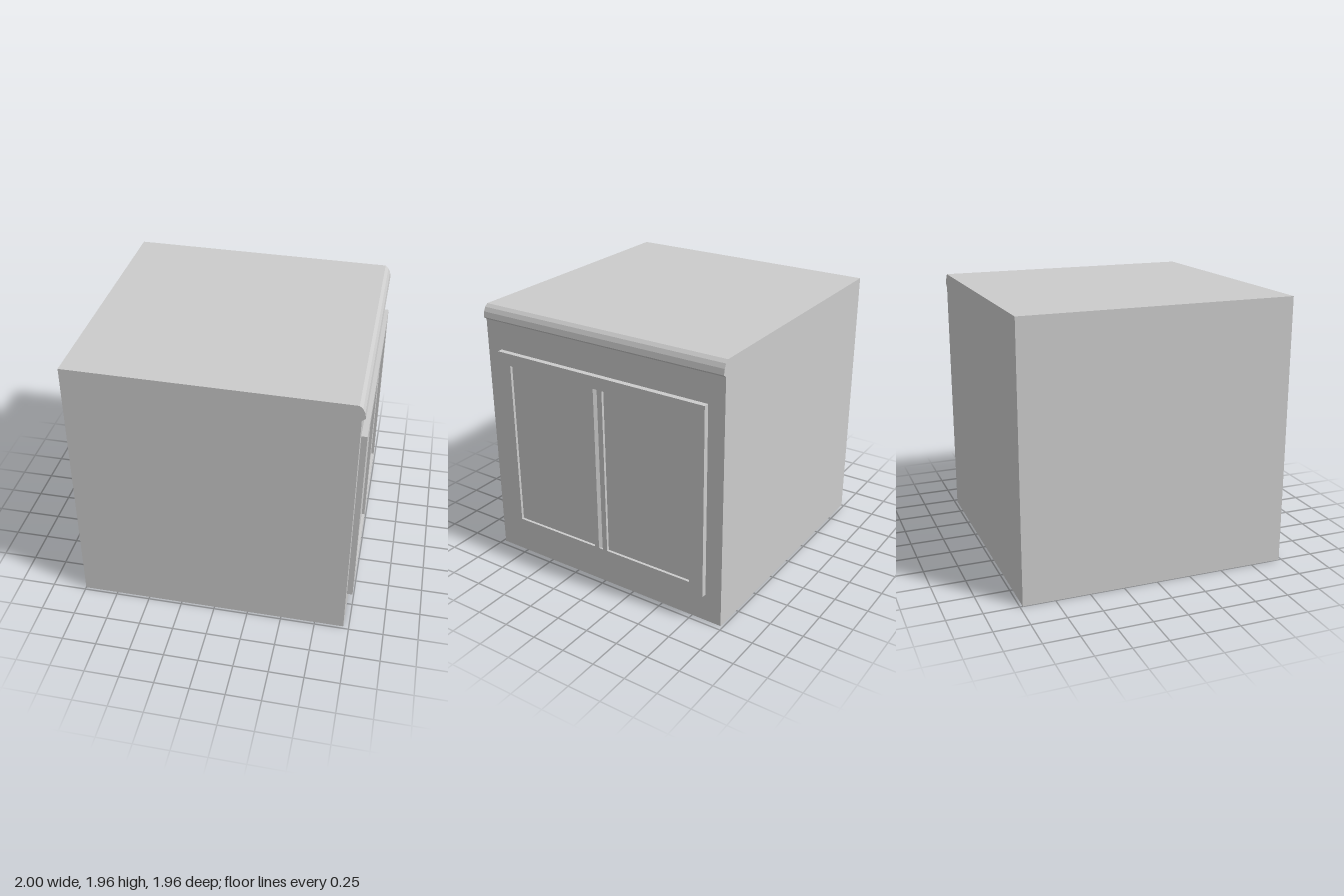
import * as THREE from 'three';

const HALF_Z = 0.98;
const material = new THREE.MeshStandardMaterial({ color: 0xcccccc, side: THREE.DoubleSide, flatShading: true });

function part(name, geometry, parent) {
  const mesh = new THREE.Mesh(geometry, material);
  mesh.name = name;
  parent.add(mesh);
  return mesh;
}

// Open sheet: an xy path swept along z from -half to +half
function sheet(path, half) {
  const pos = [];
  for (let i = 0; i + 1 < path.length; i++) {
    const [px, py] = path[i], [qx, qy] = path[i + 1];
    const a = [px, py, -half], b = [qx, qy, -half], c = [qx, qy, half], d = [px, py, half];
    pos.push(...a, ...d, ...c, ...a, ...c, ...b);
  }
  const g = new THREE.BufferGeometry();
  g.setAttribute('position', new THREE.Float32BufferAttribute(pos, 3));
  g.computeVertexNormals();
  return g;
}

// Rectangle outline added to a shape or hole path
function rect(path, x0, y0, x1, y1) {
  path.moveTo(x0, y0);
  path.lineTo(x1, y0);
  path.lineTo(x1, y1);
  path.lineTo(x0, y1);
  path.closePath();
  return path;
}

export function createModel() {
  const model = new THREE.Group();
  model.name = 'cabinetBox';

  // Side outline: back wall, sloping roof, rounded lip, window wall
  const profile = [
    [-1, 0], [-1, 1.96], [0.94, 1.94], [0.963, 1.92], [0.978, 1.89],
    [0.985, 1.85], [0.96, 1.83], [0.96, 0],
  ];
  part('shell', sheet(profile, HALF_Z), model);

  // End walls, each with an inward flange along its bottom edge
  const outline = new THREE.Shape(profile.map(([x, y]) => new THREE.Vector2(x, y)));
  for (const s of [1, -1]) {
    const wall = new THREE.ShapeGeometry(outline);
    if (s < 0) {
      const index = wall.index.array;
      for (let i = 0; i < index.length; i += 3) [index[i], index[i + 1]] = [index[i + 1], index[i]];
      wall.computeVertexNormals();
    }
    part(s > 0 ? 'frontWall' : 'backWall', wall, model).position.z = s * HALF_Z;

    const flange = part('bottomFlange', new THREE.BoxGeometry(1.96, 0.006, 0.11), model);
    flange.position.set(-0.02, 0.003, s * (HALF_Z - 0.055));
  }

  // Window: backing panel, frame with two openings and a centre groove
  const windowUnit = new THREE.Group();
  windowUnit.name = 'window';
  model.add(windowUnit);
  const y0 = 0.295, y1 = 1.535;

  part('windowPanes', new THREE.BoxGeometry(0.02, 1.415, 1.714), windowUnit).position.set(0.97, 0.9175, 0);

  const frame = rect(new THREE.Shape(), -0.857, 0.21, 0.857, 1.625);
  for (const [a, b] of [[-0.75, -0.055], [-0.018, 0.018], [0.055, 0.75]]) {
    frame.holes.push(rect(new THREE.Path(), a, y0, b, y1));
  }
  const frameGeometry = new THREE.ExtrudeGeometry(frame, { depth: 0.02, bevelEnabled: false });
  frameGeometry.rotateY(Math.PI / 2);
  part('windowFrame', frameGeometry, windowUnit).position.x = 0.98;

  const groove = sheet([[1, 0.018], [0.981, 0], [1, -0.018]], (y1 - y0) / 2);
  groove.rotateX(Math.PI / 2);
  part('centreGroove', groove, windowUnit).position.y = (y0 + y1) / 2;

  return model;
}
